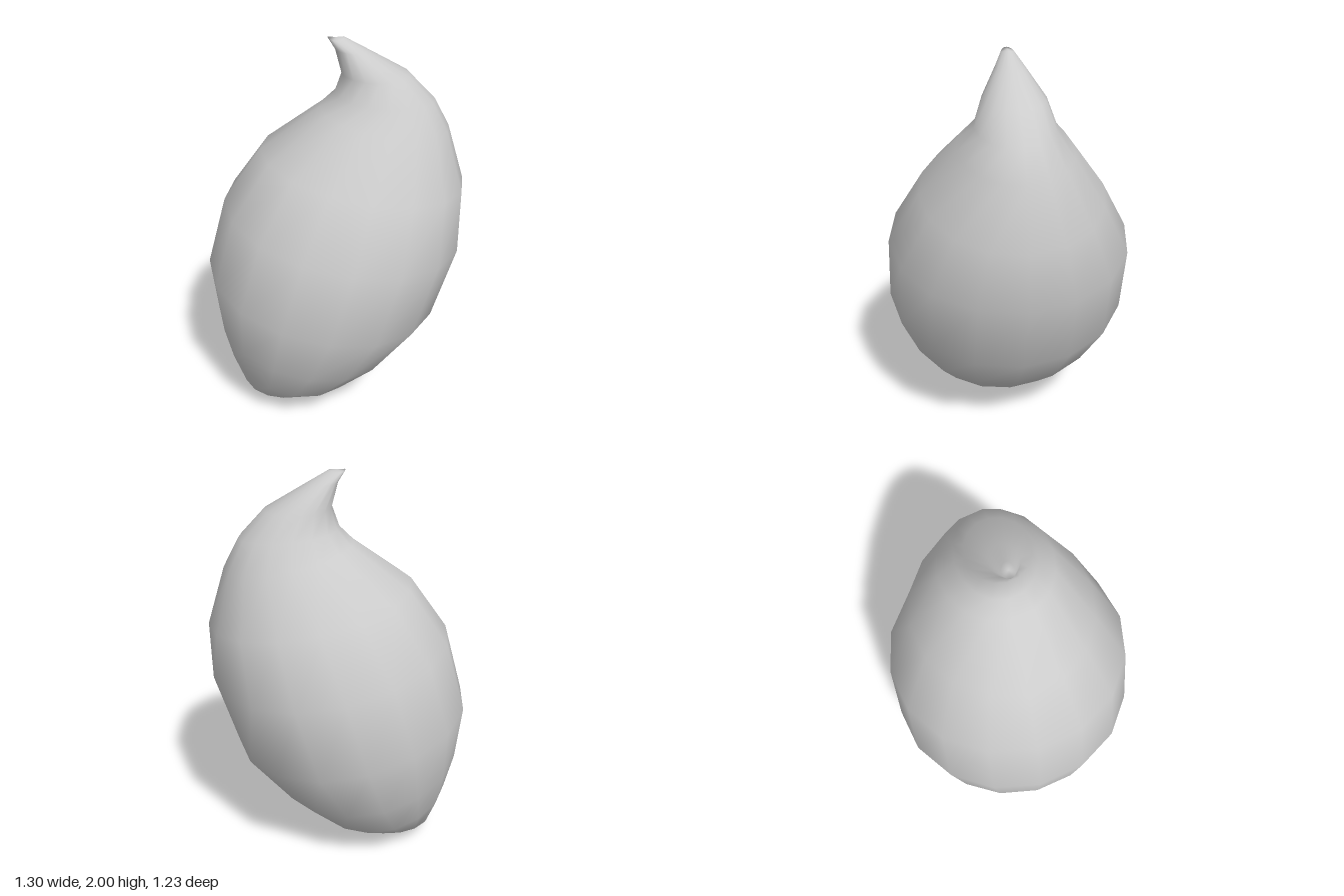
import * as THREE from 'three';

const SIDES = 16;

// Tilted rings from the bottom tip to the hooked stem:
// left x, left y, right x, right y, half depth, lift of the front and back
const RINGS = [
  [-0.46, 0.02, -0.38, 0.005, 0.04, 0],
  [-0.51, 0.09, -0.07, 0.05, 0.29, 0.04],
  [-0.575, 0.31, 0.11, 0.14, 0.41, 0],
  [-0.62, 0.52, 0.31, 0.31, 0.52, 0],
  [-0.65, 0.82, 0.53, 0.58, 0.615, 0],
  [-0.55, 1.18, 0.645, 0.96, 0.605, 0],
  [-0.36, 1.45, 0.65, 1.26, 0.45, 0],
  [-0.07, 1.66, 0.56, 1.55, 0.275, 0],
  [0.0, 1.73, 0.485, 1.69, 0.19, 0],
  [0.035, 1.83, 0.36, 1.82, 0.15, 0],
  [0.005, 1.945, 0.17, 1.93, 0.07, 0],
  [-0.03, 2.0, 0.05, 2.0, 0.03, -0.01],
];

// Lofts a closed skin through the rings, with a cap at each end
function loftRings(rings) {
  const positions = [];
  const index = [];
  const middle = ([lx, ly, rx, ry]) => [(lx + rx) / 2, (ly + ry) / 2];

  for (const ring of rings) {
    const [lx, ly, rx, ry, depth, lift] = ring;
    const [mx, my] = middle(ring);
    for (let j = 0; j < SIDES; j++) {
      const a = (j / SIDES) * Math.PI * 2;
      const c = Math.cos(a), s = Math.sin(a);
      positions.push(mx + (c * (rx - lx)) / 2, my + (c * (ry - ly)) / 2 + lift * s * s, depth * s);
    }
  }
  const bottom = rings.length * SIDES;
  const top = bottom + 1;
  const last = (rings.length - 1) * SIDES;
  positions.push(...middle(rings[0]), 0, ...middle(rings[rings.length - 1]), 0);

  for (let j = 0; j < SIDES; j++) {
    const k = (j + 1) % SIDES;
    for (let i = 0; i < rings.length - 1; i++) {
      const a = i * SIDES + j, b = i * SIDES + k;
      index.push(a, a + SIDES, b, b, a + SIDES, b + SIDES);
    }
    index.push(bottom, j, k, top, last + k, last + j);
  }

  const geometry = new THREE.BufferGeometry();
  geometry.setAttribute('position', new THREE.Float32BufferAttribute(positions, 3));
  geometry.setIndex(index);
  geometry.computeVertexNormals();
  return geometry;
}

export function createModel() {
  const group = new THREE.Group();
  group.name = 'fruit';
  // Leaning plump body with a hooked stem tip
  const body = new THREE.Mesh(loftRings(RINGS), new THREE.MeshStandardMaterial({ color: 0xcccccc }));
  body.name = 'fruitBody';
  group.add(body);
  return group;
}
